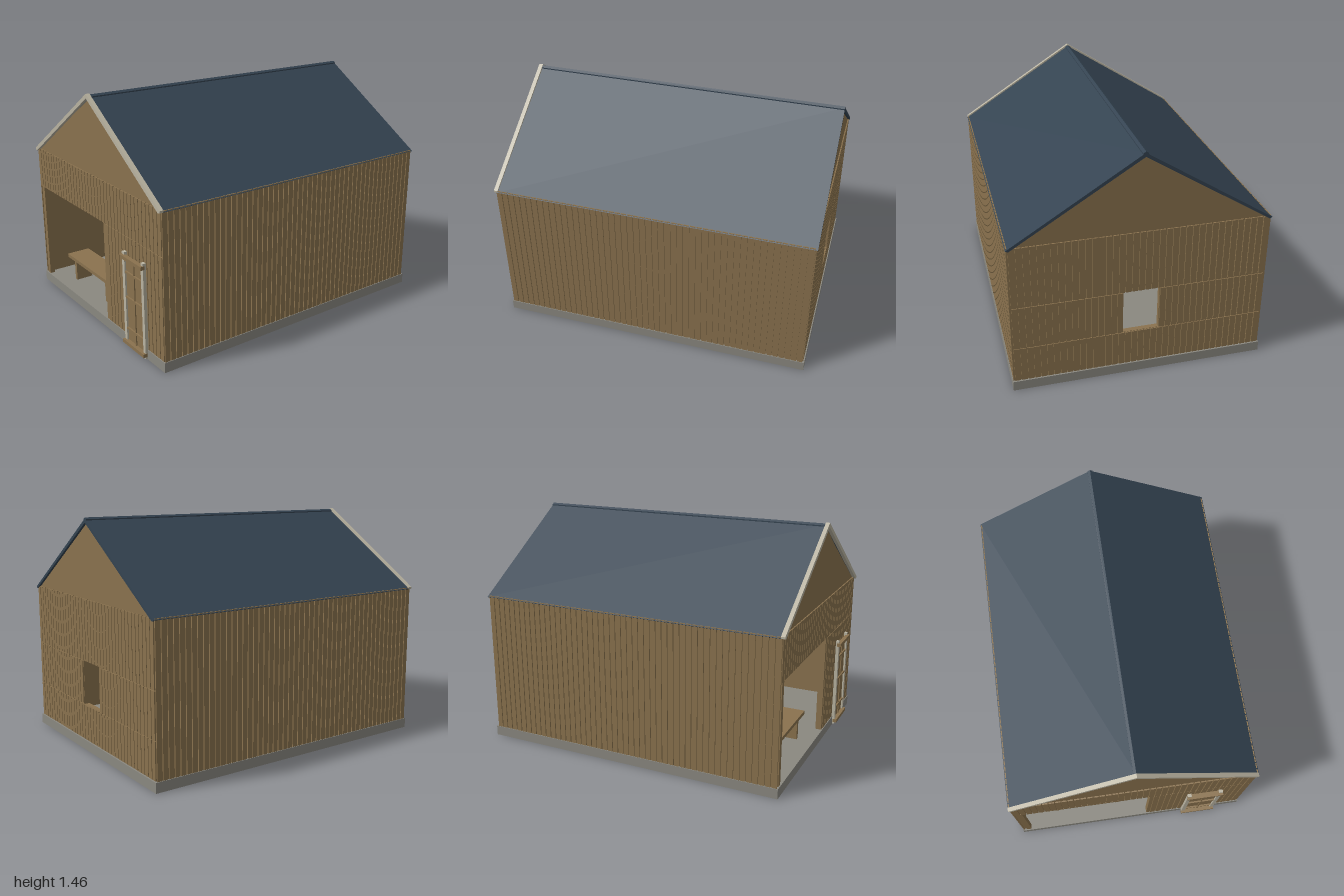
import * as THREE from 'three';

const mat = (name, color, side = THREE.FrontSide) => {
  const m = new THREE.MeshStandardMaterial({ color, side });
  m.name = name;
  return m;
};

export function createModel() {
  const wood = mat('brownWood', 0x8a724e);
  const concrete = mat('greyConcrete', 0x8a8880);
  const roofing = mat('slateBlueRoof', 0x344351);
  const trim = mat('paleTrim', 0xb9b3a1);

  const model = new THREE.Group();
  model.name = 'shed';
  const group = (name) => {
    const g = new THREE.Group();
    g.name = name;
    model.add(g);
    return g;
  };
  // Box given by its limits on each axis
  const box = (parent, name, m, [x0, x1], [y0, y1], [z0, z1]) => {
    const mesh = new THREE.Mesh(new THREE.BoxGeometry(x1 - x0, y1 - y0, z1 - z0), m);
    mesh.position.set((x0 + x1) / 2, (y0 + y1) / 2, (z0 + z1) / 2);
    mesh.name = name;
    parent.add(mesh);
    return mesh;
  };
  // Outline in x and y, extruded from z0 to z1
  const slab = (parent, name, m, points, z0, z1) => {
    const shape = new THREE.Shape(points.map(([x, y]) => new THREE.Vector2(x, y)));
    const geo = new THREE.ExtrudeGeometry(shape, { depth: z1 - z0, bevelEnabled: false });
    const mesh = new THREE.Mesh(geo, m);
    mesh.position.z = z0;
    mesh.name = name;
    parent.add(mesh);
  };
  // Row of upright boards with narrow gaps, placed by a callback
  const boards = (from, to, place) => {
    const n = Math.max(1, Math.round((to - from) / 0.0385));
    const step = (to - from) / n;
    for (let i = 0; i < n; i++) place(from + i * step + 0.003, from + (i + 1) * step - 0.003);
  };

  const base = 0.062, eave = 0.96, head = 0.695;

  box(model, 'foundation', concrete, [-0.77, 0.77], [0, base], [-1, 0.97]);

  // Side walls
  for (const s of [-1, 1]) {
    const g = group(s > 0 ? 'leftWall' : 'rightWall');
    const span = (a, b) => (s > 0 ? [a, b] : [-b, -a]);
    box(g, 'wallCore', wood, span(0.742, 0.758), [base, eave], [-0.985, 0.957]);
    boards(-0.99, 0.965, (a, b) => box(g, 'sideBoard', wood, span(0.758, 0.766), [base, eave], [a, b]));
  }

  // Front wall with a wide opening
  const front = group('frontWall');
  box(front, 'lintelCore', wood, [-0.742, 0.742], [head, eave], [0.93, 0.957]);
  box(front, 'closedCore', wood, [0.13, 0.742], [base, head], [0.93, 0.957]);
  box(front, 'openingPostRight', wood, [-0.742, -0.71], [base, head], [0.93, 0.963]);
  box(front, 'openingPostLeft', wood, [0.11, 0.134], [base, head], [0.925, 0.963]);
  boards(-0.758, 0.758, (a, b) => box(front, 'upperBoard', wood, [a, b], [head + 0.002, eave], [0.957, 0.965]));
  boards(0.134, 0.758, (a, b) => box(front, 'lowerBoard', wood, [a, b], [base, head - 0.002], [0.957, 0.965]));

  // Back wall in three bands around a window hole
  const back = group('backWall');
  const backPart = (x0, x1, y0, y1) => {
    box(back, 'backCore', wood, [x0, x1], [y0, y1], [-0.985, -0.955]);
    boards(x0, x1, (a, b) => box(back, 'backBoard', wood, [a, b], [y0 + 0.002, y1 - 0.002], [-0.993, -0.985]));
  };
  backPart(-0.758, 0.758, base, 0.29);
  backPart(-0.758, -0.11, 0.29, 0.57);
  backPart(0.107, 0.758, 0.29, 0.57);
  backPart(-0.758, 0.758, 0.57, eave);

  // Gables
  const gable = [[-0.755, eave], [0.755, eave], [0.735, 0.964], [0, 1.425], [-0.735, 0.964]];
  slab(model, 'frontGable', wood, gable, 0.935, 0.957);
  slab(model, 'backGable', wood, gable, -0.985, -0.96);

  // Roof, ridge cap and front verge boards
  const roof = group('roof');
  for (const s of [-1, 1]) {
    const side = [[0, 1.418], [0.755, 0.944], [0.77, 0.953], [0, 1.442]].map(([x, y]) => [s * x, y]);
    slab(roof, 'roofPanel', roofing, side, -1, 0.957);
    const verge = [[0, 1.428], [0.752, 0.946], [0.768, 0.952], [0.768, 0.964], [0, 1.455]].map(([x, y]) => [s * x, y]);
    slab(roof, 'vergeBoard', trim, verge, 0.953, 0.978);
  }
  slab(roof, 'ridgeCap', roofing, [[-0.016, 1.43], [0.016, 1.43], [0.016, 1.439], [0, 1.449], [-0.016, 1.439]], -1, 0.953);

  // Bench inside the opening
  const bench = group('bench');
  box(bench, 'benchSeat', wood, [-0.575, -0.025], [0.213, 0.236], [0.73, 0.885]);
  for (const x of [-0.525, -0.1]) box(bench, 'benchLeg', wood, [x, x + 0.025], [base, 0.213], [0.75, 0.862]);

  // Narrow door with pale stiles and wooden rails
  const door = group('narrowDoor');
  box(door, 'doorPanel', wood, [0.385, 0.566], [0.02, 0.575], [0.965, 0.974]);
  for (const x of [0.36, 0.566]) box(door, 'doorStile', trim, [x, x + 0.025], [0.008, 0.603], [0.965, 0.985]);
  for (const y of [0.02, 0.566]) box(door, 'outerRail', wood, [0.358, 0.592], [y, y + 0.022], [0.974, 1]);
  for (const y of [0.113, 0.315, 0.475]) box(door, 'innerRail', wood, [0.385, 0.566], [y, y + 0.013], [0.974, 0.984]);
  box(door, 'centreBar', wood, [0.471, 0.48], [0.042, 0.566], [0.974, 0.981]);

  return model;
}
